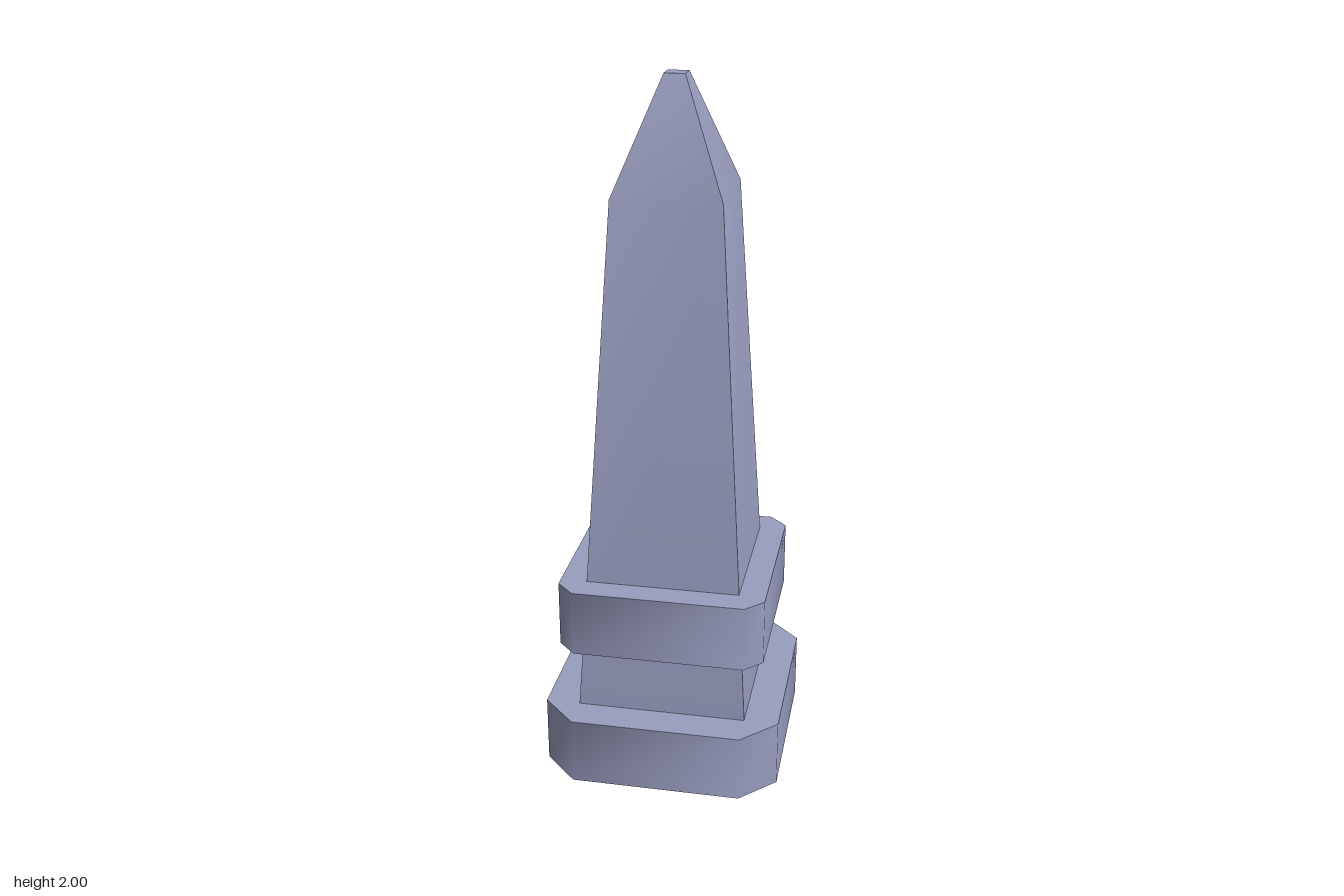
import * as THREE from 'three';
import { toCreasedNormals } from 'three/addons/utils/BufferGeometryUtils.js';

const TWIST = 0.0715; // the whole monument is turned slightly off its diagonal

// Four-fold ring: a corner at radius r, optionally cut by a chamfer of half-width h
function ring(r, h = 0) {
  const points = [];
  for (let k = 0; k < 4; k++) {
    const a = TWIST + k * Math.PI / 2;
    for (const t of h ? [-h, h] : [0]) {
      points.push([r * Math.cos(a) - t * Math.sin(a), r * Math.sin(a) + t * Math.cos(a)]);
    }
  }
  return points;
}

// Closed solid through stacked rings, each given as [y, ring]
function loft(levels) {
  const n = levels[0][1].length;
  const top = (levels.length - 1) * n;
  const positions = [];
  const index = [];
  for (const [y, points] of levels) {
    for (const [x, z] of points) positions.push(x, y, z);
  }
  for (let l = 0; l < levels.length - 1; l++) {
    for (let i = 0; i < n; i++) {
      const a = l * n + i;
      const b = l * n + (i + 1) % n;
      index.push(a, a + n, b, b, a + n, b + n);
    }
  }
  for (let i = 1; i < n - 1; i++) {
    index.push(0, i, i + 1, top, top + i + 1, top + i);
  }
  const geometry = new THREE.BufferGeometry();
  geometry.setAttribute('position', new THREE.Float32BufferAttribute(positions, 3));
  geometry.setIndex(index);
  return toCreasedNormals(geometry, THREE.MathUtils.degToRad(50));
}

export function createModel() {
  const group = new THREE.Group();
  group.name = 'obelisk';
  const stone = new THREE.MeshStandardMaterial({ color: 0x9a9ec0 });
  stone.name = 'blue grey stone';

  const add = (name, levels) => {
    const mesh = new THREE.Mesh(loft(levels), stone);
    mesh.name = name;
    group.add(mesh);
  };

  // Chamfered plinth and collar
  add('plinth', [[0, ring(0.416, 0.07)], [0.2, ring(0.416, 0.07)]]);
  add('collar', [[0.4, ring(0.383, 0.036)], [0.595, ring(0.383, 0.036)]]);

  // Tapering square shaft with a blunt pyramid tip
  add('shaft', [[0.2, ring(0.346)], [1.69, ring(0.214)], [2, ring(0.041)]]);

  return group;
}
